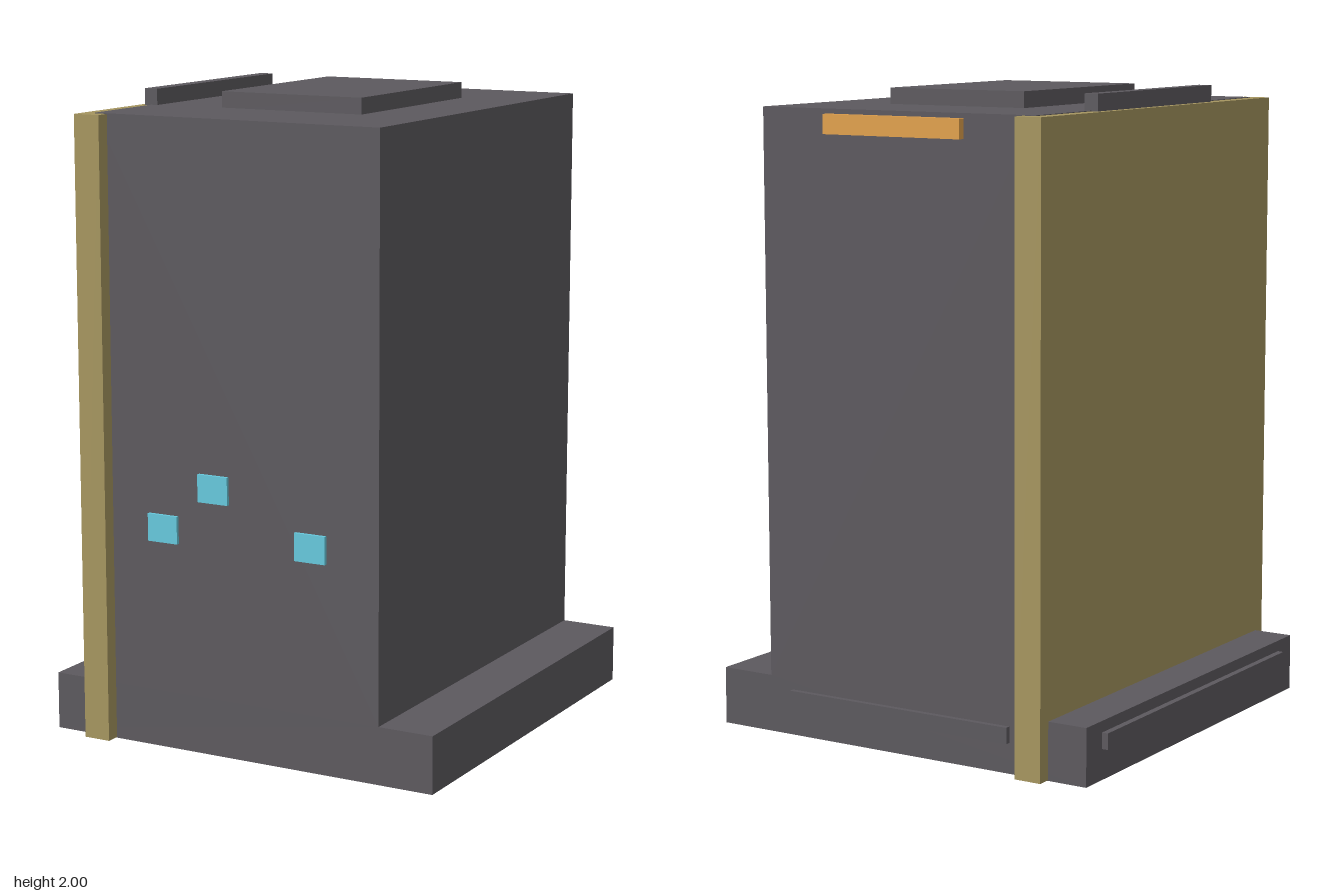
import * as THREE from 'three';

const material = (color) => new THREE.MeshStandardMaterial({ color, flatShading: true });
const dark = material(0x5c595e);
const tan = material(0xa5955f);
const cyan = material(0x66c8dc);
const orange = material(0xe0a04c);

// Box given by its lower and upper limits on each axis
function box(name, mat, [x0, x1], [y0, y1], [z0, z1]) {
  const mesh = new THREE.Mesh(new THREE.BoxGeometry(x1 - x0, y1 - y0, z1 - z0), mat);
  mesh.position.set((x0 + x1) / 2, (y0 + y1) / 2, (z0 + z1) / 2);
  mesh.name = name;
  return mesh;
}

export function createModel() {
  const model = new THREE.Group();
  model.name = 'cabinet';

  // Tall body and wider plinth in one stepped profile
  const profile = new THREE.Shape([
    [-0.655, 0], [0.67, 0], [0.67, 0.18], [0.49, 0.18],
    [0.49, 1.95], [-0.48, 1.95], [-0.48, 0.18], [-0.655, 0.18],
  ].map(([x, y]) => new THREE.Vector2(x, y)));
  const bodyGeometry = new THREE.ExtrudeGeometry(profile, { depth: 1.325, bevelEnabled: false });
  bodyGeometry.translate(0, 0, -0.665);
  const body = new THREE.Mesh(bodyGeometry, dark);
  body.name = 'bodyAndPlinth';
  model.add(body);

  // Side panel, standing proud at the front and back
  model.add(box('sidePanel', tan, [-0.525, -0.437], [0.002, 1.948], [-0.71, 0.705]));

  // Raised parts on the top
  model.add(box('topPlate', dark, [-0.235, 0.25], [1.94, 2], [-0.335, 0.33]));
  model.add(box('topRail', dark, [-0.502, -0.457], [1.94, 2], [-0.355, 0.35]));

  // Strips on the plinth and the back
  model.add(box('plinthSideStrip', dark, [-0.675, -0.65], [0.095, 0.145], [-0.575, 0.57]));
  model.add(box('plinthBackStrip', dark, [-0.39, 0.405], [0.095, 0.145], [-0.682, -0.66]));
  model.add(box('backLightBar', orange, [-0.235, 0.25], [1.875, 1.935], [-0.69, -0.66]));

  // Small indicator lights on the front
  for (const [x, y] of [[-0.252, 0.696], [-0.073, 0.837], [0.262, 0.696]]) {
    model.add(box('frontLight', cyan, [x - 0.052, x + 0.052], [y - 0.043, y + 0.043], [0.65, 0.671]));
  }
  return model;
}
